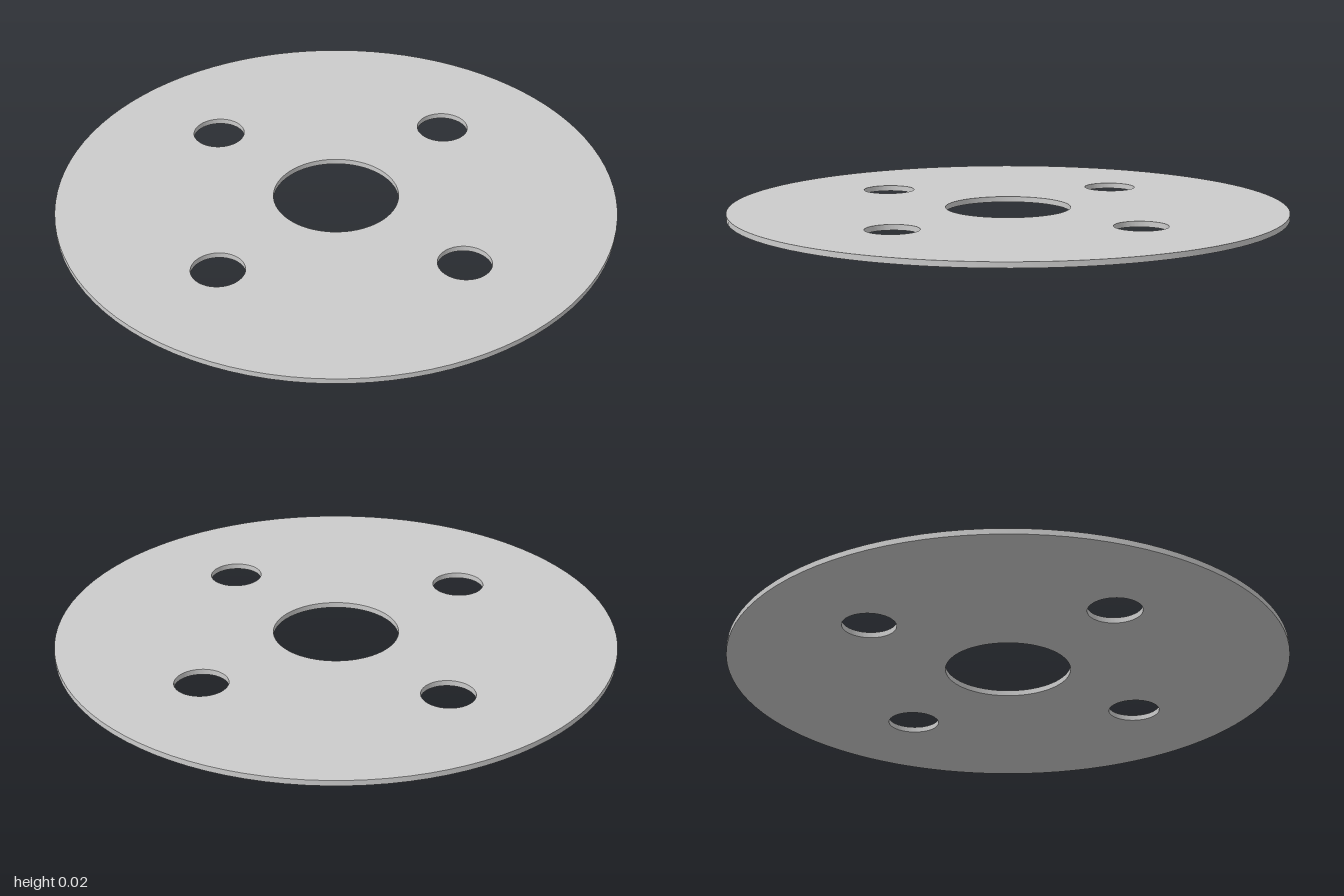
import * as THREE from 'three';
import { toCreasedNormals } from 'three/addons/utils/BufferGeometryUtils.js';

const RADIUS = 1;
const THICKNESS = 0.02;
const BORE_RADIUS = 0.224;
const BOLT_RADIUS = 0.094;
const BOLT_OFFSET = 0.42;

function circle(PathType, x, y, radius) {
  return new PathType().absarc(x, y, radius, 0, Math.PI * 2, false);
}

export function createModel() {
  const group = new THREE.Group();
  group.name = 'flangePlate';

  // Round plate outline with a central bore
  const outline = circle(THREE.Shape, 0, 0, RADIUS);
  outline.holes.push(circle(THREE.Path, 0, 0, BORE_RADIUS));

  // Four bolt holes on the diagonals
  for (const sx of [-1, 1]) {
    for (const sy of [-1, 1]) {
      outline.holes.push(circle(THREE.Path, sx * BOLT_OFFSET, sy * BOLT_OFFSET, BOLT_RADIUS));
    }
  }

  // Extrude, then lay flat on the ground with smooth rims and sharp edges
  const plate = new THREE.ExtrudeGeometry(outline, {
    depth: THICKNESS,
    bevelEnabled: false,
    curveSegments: 48,
  });
  plate.rotateX(-Math.PI / 2);

  const mesh = new THREE.Mesh(
    toCreasedNormals(plate, 0.6),
    new THREE.MeshStandardMaterial({ color: 0xcccccc })
  );
  mesh.name = 'perforatedDisc';
  group.add(mesh);
  return group;
}
